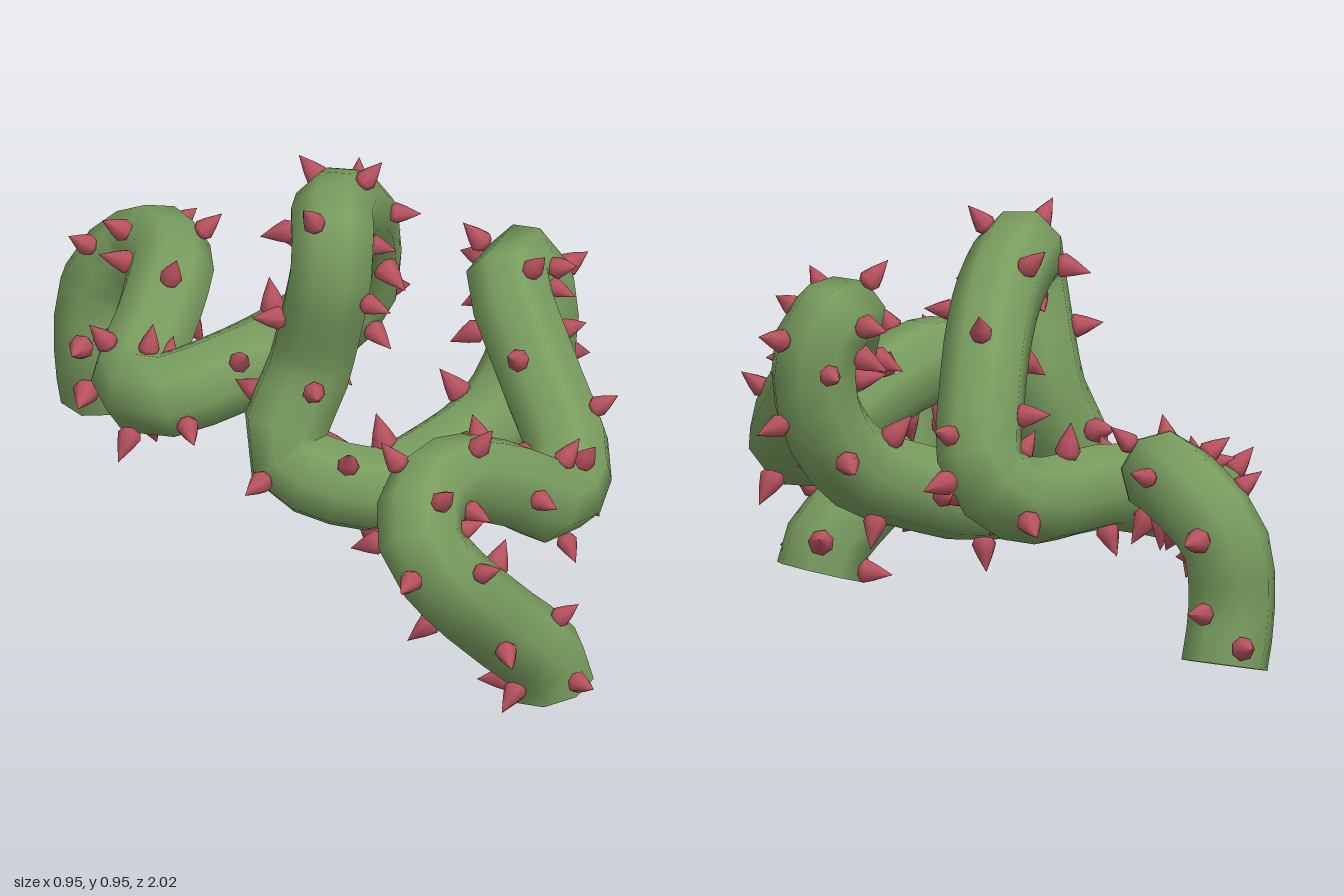
import * as THREE from 'three';

const RADIUS = 0.095;
const SIDES = 8;

// Centre line of the vine, from the front tip to the back tip
const PATH = [
  [-0.02, 0.022, 0.86], [-0.036, 0.08, 0.86], [-0.15, 0.19, 0.86], [-0.28, 0.32, 0.86],
  [-0.33, 0.41, 0.82], [-0.285, 0.475, 0.76], [-0.18, 0.485, 0.71], [0.0, 0.415, 0.675],
  [0.12, 0.345, 0.66], [0.21, 0.385, 0.59], [0.235, 0.54, 0.43], [0.25, 0.68, 0.3],
  [0.3, 0.7, 0.25], [0.345, 0.645, 0.25], [0.335, 0.5, 0.26], [0.24, 0.37, 0.27],
  [0.08, 0.305, 0.28], [-0.07, 0.27, 0.26], [-0.21, 0.34, 0.12], [-0.135, 0.53, 0.11],
  [-0.12, 0.78, 0.17], [-0.06, 0.833, 0.08], [0.085, 0.765, -0.07], [0.21, 0.62, -0.225],
  [0.26, 0.45, -0.31], [0.18, 0.38, -0.33], [-0.1, 0.37, -0.245], [-0.26, 0.335, -0.29],
  [-0.26, 0.335, -0.38], [-0.12, 0.41, -0.5], [0.0, 0.465, -0.63], [0.02, 0.455, -0.74],
  [-0.03, 0.35, -0.84], [-0.045, 0.2, -0.845], [-0.02, 0.08, -0.856],
];

export function createModel() {
  const group = new THREE.Group();
  const green = new THREE.MeshStandardMaterial({ color: 0x789c5e, side: THREE.DoubleSide });
  const red = new THREE.MeshStandardMaterial({ color: 0xb8525f });
  const curve = new THREE.CatmullRomCurve3(PATH.map((p) => new THREE.Vector3(...p)));

  // Twisting hollow stem, open at both ends
  const stem = new THREE.Mesh(new THREE.TubeGeometry(curve, 84, RADIUS, SIDES), green);
  stem.name = 'vineStem';
  group.add(stem);

  // Thorns spiralling around the stem, closer together in the bends
  const thorns = new THREE.Group();
  thorns.name = 'thorns';
  const profile = [[0, -0.016], [0.02, -0.01], [0.027, 0.004], [0.018, 0.028], [0, 0.065]];
  const thornShape = new THREE.LatheGeometry(profile.map((p) => new THREE.Vector2(...p)), 7);
  const count = 112;
  const up = new THREE.Vector3(0, 1, 0);
  for (let i = 1; i < count; i++) {
    const tangent = curve.getTangent(i / count);
    // Golden-angle direction, square to the stem
    const out = new THREE.Vector3(1, 0, 0).applyQuaternion(
      new THREE.Quaternion().setFromUnitVectors(up, tangent),
    ).applyAxisAngle(tangent, i * 2.39996);
    const thorn = new THREE.Mesh(thornShape, red);
    thorn.position.copy(curve.getPoint(i / count)).addScaledVector(out, RADIUS);
    thorn.quaternion.setFromUnitVectors(up, out);
    thorn.scale.setScalar(0.85 + 0.25 * ((i * 0.618) % 1));
    thorn.name = 'thorn';
    thorns.add(thorn);
  }
  group.add(thorns);
  return group;
}
